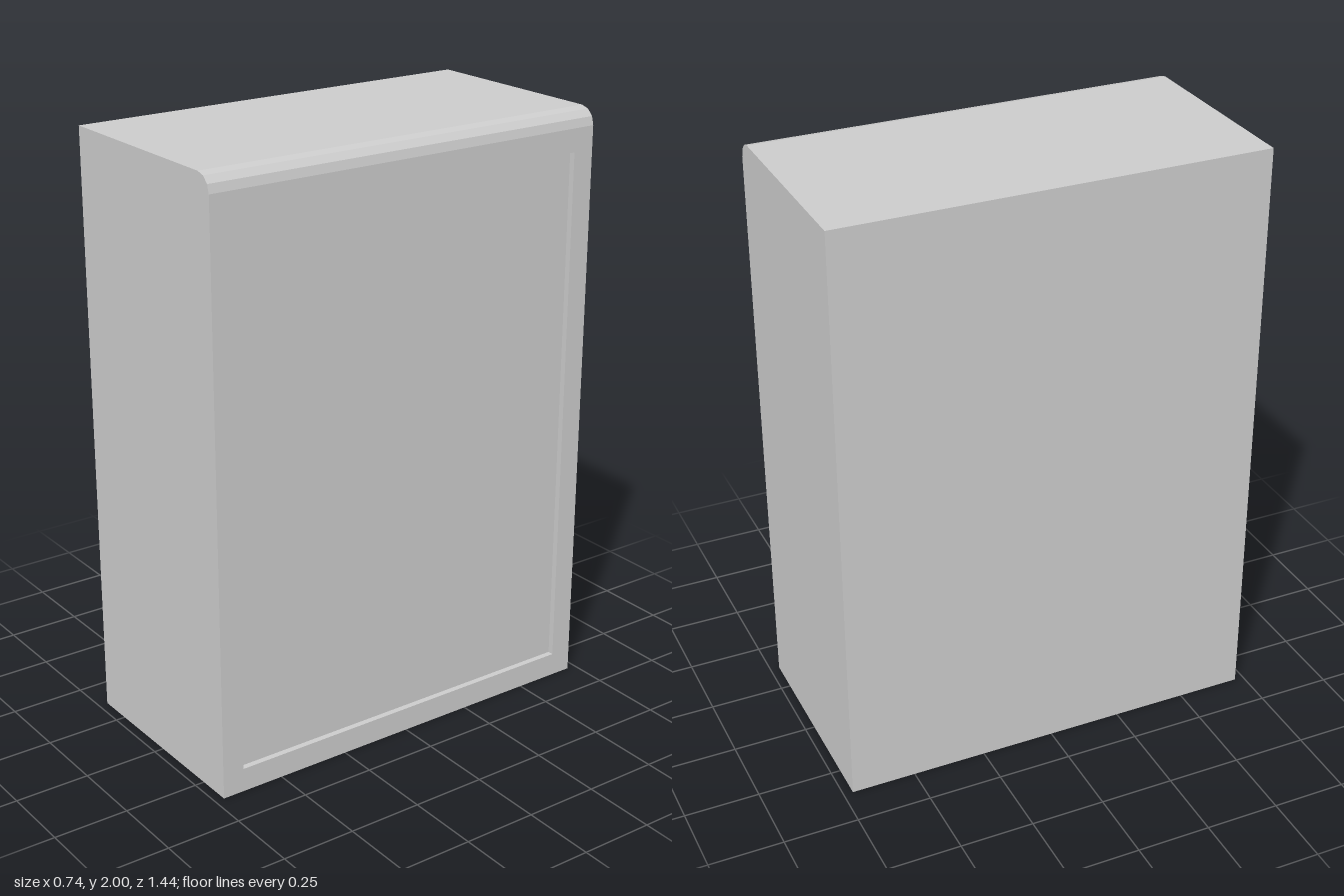
import * as THREE from 'three';
import { mergeGeometries } from 'three/addons/utils/BufferGeometryUtils.js';

const W = 0.368, H = 2, D = 0.718;            // half width, height, half depth
const R = 0.056, STEPS = 3;                   // rounded top edge
const DEPTH = 0.02;                           // recess depth
const PU = 0.643, P0 = 0.08, P1 = 1.867;      // recess half width, bottom, top

const vec = (x, y, z) => new THREE.Vector3(x, y, z);

// flat four-sided faces, corners counter-clockwise from outside
function quads(list) {
  const pts = list.flatMap(([a, b, c, d]) => [a, b, c, a, c, d]);
  const g = new THREE.BufferGeometry().setFromPoints(pts);
  g.computeVertexNormals();
  return g;
}

function flat(shape) {
  const g = new THREE.ShapeGeometry(shape).toNonIndexed();
  g.deleteAttribute('uv');
  return g;
}

// rectangle outline in the plane of the +x face
const rect = (u, y0, y1) => [[-u, y0], [u, y0], [u, y1], [-u, y1]].map(p => new THREE.Vector2(...p));

export function createModel() {
  const group = new THREE.Group();
  const material = new THREE.MeshStandardMaterial({ color: 0xcccccc, flatShading: true });
  const add = (name, geometry) => {
    const mesh = new THREE.Mesh(geometry, material);
    mesh.name = name;
    group.add(mesh);
  };

  // side profile with one rounded top corner
  const profile = [new THREE.Vector2(W, 0)];
  for (let i = 0; i <= STEPS; i++) {
    const a = (i / STEPS) * Math.PI / 2;
    profile.push(new THREE.Vector2(W - R + R * Math.cos(a), H - R + R * Math.sin(a)));
  }
  profile.push(new THREE.Vector2(-W, H), new THREE.Vector2(-W, 0));

  // cabinet shell: the first profile edge stays open for the framed face
  const sides = [];
  for (let i = 1; i < profile.length; i++) {
    const a = profile[i], b = profile[(i + 1) % profile.length];
    sides.push([vec(a.x, a.y, -D), vec(b.x, b.y, -D), vec(b.x, b.y, D), vec(a.x, a.y, D)]);
  }
  const end = flat(new THREE.Shape(profile));
  const ends = [
    end.clone().translate(0, 0, D),
    flat(new THREE.Shape(profile.map(p => new THREE.Vector2(-p.x, p.y)))).rotateY(Math.PI).translate(0, 0, -D),
  ];
  add('cabinetBody', mergeGeometries([quads(sides), ...ends]));

  // frame around the recess
  const opening = rect(PU, P0, P1);
  const frame = new THREE.Shape(rect(D, 0, H - R));
  frame.holes.push(new THREE.Path(opening));
  add('frame', flat(frame).rotateY(Math.PI / 2).translate(W, 0, 0));

  // recess walls and sunken panel
  const walls = opening.map((a, i) => {
    const b = opening[(i + 1) % 4];
    return [vec(W, a.y, -a.x), vec(W, b.y, -b.x), vec(W - DEPTH, b.y, -b.x), vec(W - DEPTH, a.y, -a.x)];
  });
  add('recessWalls', quads(walls));
  add('sunkenPanel', flat(new THREE.Shape(rect(PU, P0, P1))).rotateY(Math.PI / 2).translate(W - DEPTH, 0, 0));

  return group;
}
